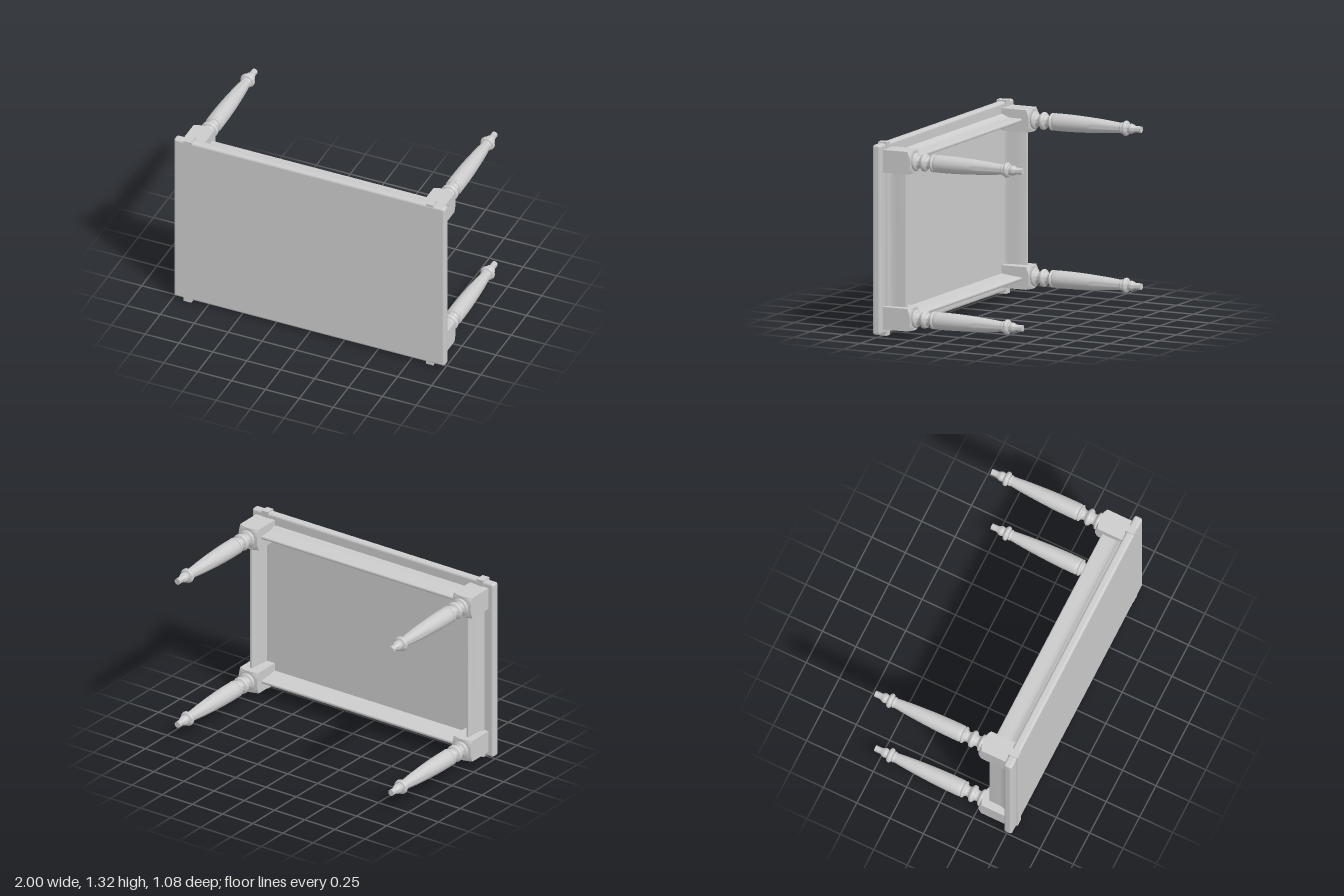
import * as THREE from 'three';
import { toCreasedNormals } from 'three/addons/utils/BufferGeometryUtils.js';
import { RoundedBoxGeometry } from 'three/addons/geometries/RoundedBoxGeometry.js';

const MID_Y = 0.665;   // height of the table's centre line
const LEG_X = 0.885;   // leg axis offsets
const LEG_Y = 0.5365;

// Half-round bead between z0 and z1 (z falls along the leg)
function bead(z0, z1, base, bulge, n = 8) {
  const pts = [];
  for (let i = 0; i <= n; i++) {
    const a = (i / n) * Math.PI;
    pts.push([base + bulge * Math.sin(a), (z0 + z1) / 2 + ((z0 - z1) / 2) * Math.cos(a)]);
  }
  return pts;
}

// Turned leg: [radius, z] profile spun about the leg axis
function legGeometry() {
  const body = new THREE.SplineCurve([
    [0.059, 0.11], [0.0592, 0.04], [0.0575, -0.05], [0.053, -0.15],
    [0.046, -0.26], [0.039, -0.34], [0.034, -0.388],
  ].map(([r, z]) => new THREE.Vector2(r, z))).getPoints(16).map(p => [p.x, p.y]);
  const profile = [
    [0, 0.29], [0.05, 0.29],
    ...bead(0.272, 0.248, 0.05, 0.012),
    [0.043, 0.243], [0.038, 0.234], [0.038, 0.225], [0.042, 0.216],
    ...bead(0.212, 0.176, 0.045, 0.016),
    [0.040, 0.171], [0.036, 0.162], [0.037, 0.152], [0.043, 0.143],
    ...bead(0.138, 0.118, 0.049, 0.011),
    [0.053, 0.116], [0.057, 0.114],
    ...body,
    ...bead(-0.389, -0.405, 0.034, 0.005, 6),
    ...bead(-0.408, -0.442, 0.034, 0.018),
    [0.030, -0.447], [0.033, -0.458], [0.035, -0.465], [0.032, -0.476],
    [0.026, -0.488], [0.022, -0.497], [0.022, -0.541], [0, -0.541],
  ];
  const lathe = new THREE.LatheGeometry(profile.map(([r, z]) => new THREE.Vector2(r, -z)), 32);
  lathe.rotateX(-Math.PI / 2);
  return toCreasedNormals(lathe, 0.7);
}

// Square block whose leg end is turned back toward its corners
function blockGeometry() {
  const half = 0.077, g = new THREE.BoxGeometry(2 * half, 2 * half, 0.205, 10, 10, 1);
  const p = g.attributes.position;
  for (let i = 0; i < p.count; i++) {
    if (p.getZ(i) > 0) continue;
    const r = Math.hypot(p.getX(i), p.getY(i));
    p.setZ(i, p.getZ(i) + Math.max(0, r - half) * 0.65);
  }
  g.computeVertexNormals();
  return g;
}

// Apron rail of given length, lying along x, its coved face toward +y at distance out
function apronGeometry(length, out) {
  const s = new THREE.Shape();
  s.moveTo(-0.48, out - 0.025);
  s.lineTo(-0.40, out - 0.015);
  s.lineTo(-0.327, out - 0.009);
  s.quadraticCurveTo(-0.322, out - 0.008, -0.322, out - 0.003);
  s.lineTo(-0.322, out + 0.005);
  s.quadraticCurveTo(-0.323, out + 0.012, -0.332, out + 0.013);
  s.lineTo(-0.40, out + 0.014);
  s.quadraticCurveTo(-0.44, out + 0.016, -0.455, out + 0.03);
  s.lineTo(-0.48, out + 0.036);
  s.closePath();
  const g = new THREE.ExtrudeGeometry(s, { depth: length, bevelEnabled: false, curveSegments: 6 });
  g.translate(0, 0, -length / 2);
  g.rotateY(Math.PI / 2);
  return toCreasedNormals(g, 0.6);
}

export function createModel() {
  const table = new THREE.Group();
  table.name = 'table';
  const material = new THREE.MeshStandardMaterial({ color: 0xcccccc });
  const add = (name, geometry, x = 0, y = 0, z = 0, parent = table) => {
    const mesh = new THREE.Mesh(geometry, material);
    mesh.name = name;
    mesh.position.set(x, y, z);
    parent.add(mesh);
    return mesh;
  };

  // Top board, standing upright with its upper face toward the front
  add('tabletop', new RoundedBoxGeometry(2, 1.3, 0.061, 3, 0.018), 0, 0.664, 0.506);

  // Cross battens: one proud of the board, one flush with it
  add('raisedBatten', new THREE.BoxGeometry(0.056, 1.323, 0.073), -0.893, 0.6615, 0.5065);
  add('flushBatten', new THREE.BoxGeometry(0.052, 1.323, 0.064), 0.889, 0.6615, 0.5025);

  // Four turned legs with square blocks
  const legGeo = legGeometry(), blockGeo = blockGeometry();
  for (const sx of [-1, 1]) for (const sy of [-1, 1]) {
    const leg = new THREE.Group();
    leg.name = (sy > 0 ? 'upper' : 'lower') + (sx > 0 ? 'Left' : 'Right') + 'Leg';
    leg.position.set(sx * LEG_X, MID_Y + sy * LEG_Y, 0);
    add('legBlock', blockGeo, 0, 0, 0.3725, leg);
    add('turnedLeg', legGeo, 0, 0, 0, leg);
    table.add(leg);
  }

  // Aprons joining the blocks, turned a quarter for each side
  const longApron = apronGeometry(1.64, 0.54), shortApron = apronGeometry(0.94, 0.895);
  ['upperApron', 'rightApron', 'lowerApron', 'leftApron'].forEach((name, i) => {
    add(name, i % 2 ? shortApron : longApron, 0, MID_Y, 0).rotation.z = (i * Math.PI) / 2;
  });

  return table;
}
